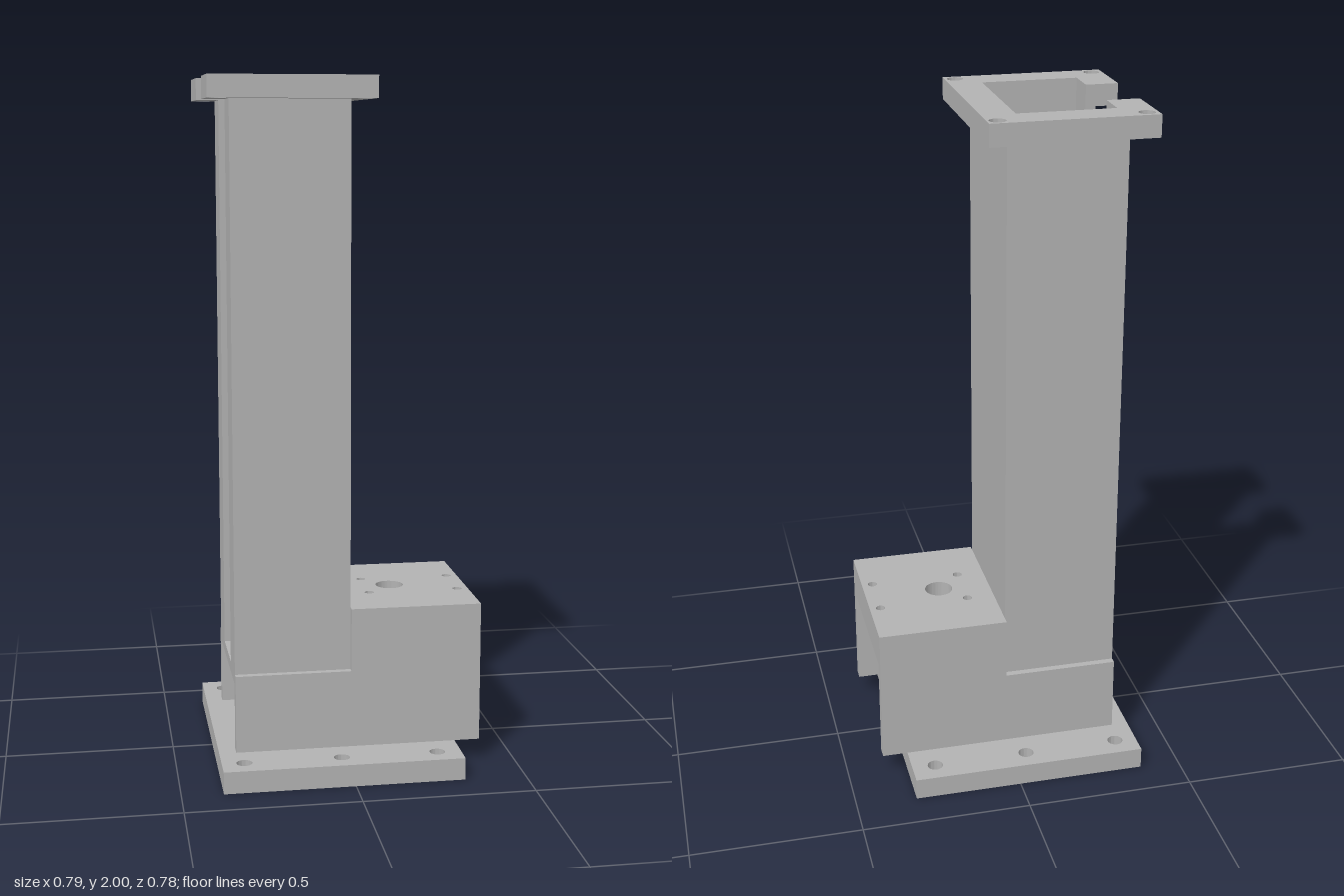
import * as THREE from 'three';
import { toCreasedNormals } from 'three/addons/utils/BufferGeometryUtils.js';

export function createModel() {
  const model = new THREE.Group();
  model.name = 'columnBracket';
  const metal = new THREE.MeshStandardMaterial({ color: 0xb2b2b2 });
  metal.name = 'grey metal';

  const add = (name, geometry) => {
    const mesh = new THREE.Mesh(geometry, metal);
    mesh.name = name;
    model.add(mesh);
    return mesh;
  };

  const polygon = (points) => new THREE.Shape(points.map(([x, y]) => new THREE.Vector2(x, y)));
  const rectangle = (x0, x1, halfZ) => polygon([[x0, -halfZ], [x1, -halfZ], [x1, halfZ], [x0, halfZ]]);

  // Horizontal outline with round holes [x, z, radius], raised from y0 to y1
  const slab = (name, shape, y0, y1, holes = []) => {
    for (const [x, z, r] of holes) {
      const hole = new THREE.Path();
      hole.absarc(x, -z, r, 0, Math.PI * 2, true);
      shape.holes.push(hole);
    }
    const geometry = new THREE.ExtrudeGeometry(shape, { depth: y1 - y0, bevelEnabled: false, curveSegments: 32 });
    geometry.rotateX(-Math.PI / 2).translate(0, y0, 0);
    return add(name, toCreasedNormals(geometry, 0.5));
  };

  // Mirrored hole pairs on both sides of z = 0
  const pairs = (xs, z, r) => xs.flatMap((x) => [[x, z, r], [x, -z, r]]);

  // C-shaped outline, open towards -x through a narrow slot
  const channel = (x0, x1, halfZ) => polygon([
    [x0, -halfZ], [x1, -halfZ], [x1, halfZ], [x0, halfZ], [x0, 0.1], [-0.3, 0.1],
    [-0.3, 0.197], [-0.02, 0.197], [-0.02, -0.197], [-0.3, -0.197], [-0.3, -0.1], [x0, -0.1],
  ]);

  // Base plate in two layers: the rear hole is counterbored from above
  const bolts = pairs([-0.315, -0.032, 0.25], 0.327, 0.023);
  const frontHole = [0.167, 0, 0.034];
  slab('basePlateLower', rectangle(-0.38, 0.32, 0.39), 0, 0.033, [...bolts, frontHole, [-0.152, 0, 0.041]]);
  slab('basePlateUpper', rectangle(-0.38, 0.32, 0.39), 0.033, 0.065, [...bolts, frontHole, [-0.152, 0, 0.071]]);

  // Stepped side walls of the housing
  const wallShape = polygon([
    [-0.33, 0.065], [0.395, 0.065], [0.395, 0.37], [0.01, 0.37], [0.01, 0.295], [-0.33, 0.295],
  ]);
  for (const [name, z] of [['frontWall', 0.21], ['backWall', -0.245]]) {
    const geometry = new THREE.ExtrudeGeometry(wallShape, { depth: 0.035, bevelEnabled: false });
    add(name, geometry).position.z = z;
  }

  // Thick drilled top of the housing
  slab('housingTop', rectangle(0.01, 0.395, 0.245), 0.37, 0.482,
    [[0.167, 0, 0.042], ...pairs([0.092, 0.362], 0.075, 0.014)]);

  // Hollow column, with a sill closing the foot of its slot
  slab('column', channel(-0.33, 0.01, 0.225), 0.263, 1.937);
  add('slotSill', new THREE.BoxGeometry(0.03, 0.032, 0.2)).position.set(-0.315, 0.279, 0);

  // Top flange
  slab('topFlange', channel(-0.395, 0.075, 0.293), 1.937, 2, pairs([-0.363, 0.045], 0.262, 0.023));

  return model;
}
